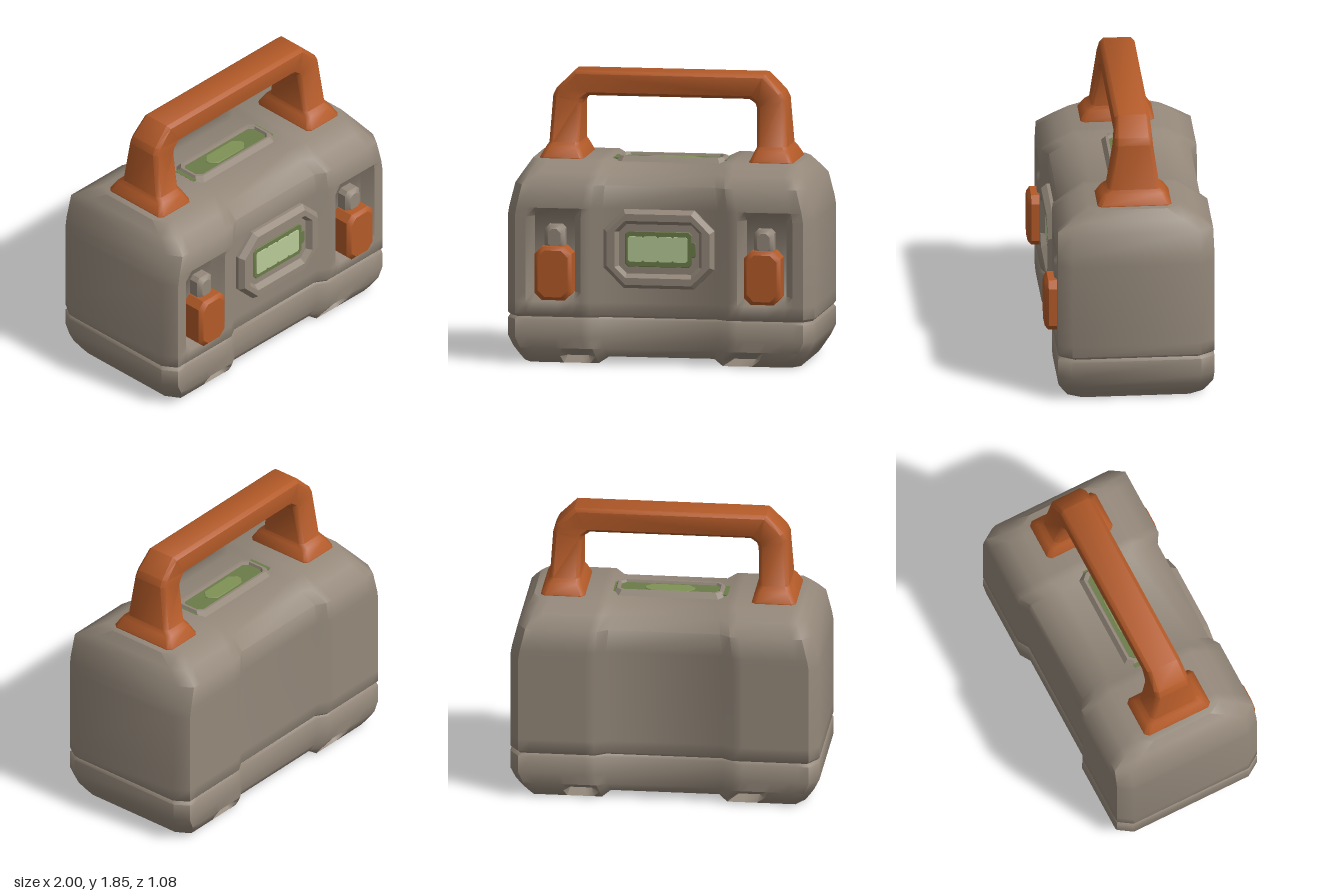
import * as THREE from 'three';
import { toCreasedNormals } from 'three/addons/utils/BufferGeometryUtils.js';

const CZ = -0.035; // depth centre of the case

function material(name, color) {
  const m = new THREE.MeshStandardMaterial({ color });
  m.name = name;
  return m;
}

// Skin a series of equal-length loops and close both ends with strips
function loft(loops, crease = 0.9) {
  const pos = [];
  const n = loops[0].length;
  const quad = (a, b, c, d) => {
    for (const p of [a, b, c, a, c, d]) pos.push(...p);
  };
  for (let j = 0; j < loops.length - 1; j++) {
    for (let i = 0; i < n; i++) {
      const k = (i + 1) % n;
      quad(loops[j][i], loops[j][k], loops[j + 1][k], loops[j + 1][i]);
    }
  }
  const first = loops[0], last = loops[loops.length - 1];
  for (let i = 0; i < n / 2 - 1; i++) {
    quad(last[i], last[i + 1], last[n - 2 - i], last[n - 1 - i]);
    quad(first[n - 1 - i], first[n - 2 - i], first[i + 1], first[i]);
  }
  const g = new THREE.BufferGeometry();
  g.setAttribute('position', new THREE.Float32BufferAttribute(pos, 3));
  return toCreasedNormals(g, crease);
}

// Rectangle with cut corners
const octagon = (w, h, c) => [
  [-w, -h + c], [-w + c, -h], [w - c, -h], [w, -h + c],
  [w, h - c], [w - c, h], [-w + c, h], [-w, h - c],
];

// Octagonal rings [halfWidth, halfHeight, cornerCut, z] stacked along z
const stack = (rings, crease) =>
  loft(rings.map(([w, h, c, z]) => octagon(w, h, c).map(([x, y]) => [x, y, z])), crease);

// Block with cut corners and a bevelled front
const block = (w, h, c, z0, z1, b) =>
  stack([[w, h, c, z0], [w, h, c, z1 - b], [w - b, h - b, c, z1]], 0.6);

function bodyGeometry() {
  // y, half width, half depth
  const rows = [
    [0, 0.9, 0.435], [0.045, 0.93, 0.468], [0.1, 0.965, 0.5], [0.17, 1, 0.505],
    [0.285, 1, 0.505], [0.302, 0.985, 0.488], [0.32, 1, 0.505], [0.4, 1, 0.505],
    [0.46, 1, 0.505], [0.95, 1, 0.505], [1.01, 0.99, 0.505], [1.16, 0.952, 0.5],
    [1.23, 0.91, 0.4], [1.295, 0.87, 0.295],
  ];
  const half = [0.38, 0.45, 0.51, 0.56, 0.66, 0.7, 0.82, 0.87, 0.94, 1];
  const cols = [...half.map(x => -x).reverse(), ...half];
  return loft(rows.map(([y, w, d]) => {
    const side = (x, s) => {
      const a = Math.abs(x);
      let z = d;
      if (a === 1) z -= 0.09;
      if (a === 0.38) z -= 0.042; // recessed waist
      // latch pockets
      if (s > 0 && a >= 0.56 && a <= 0.82 && y >= 0.46 && y <= 0.95) z -= 0.08;
      // finger notches in the bottom edge
      if (a >= 0.51 && a <= 0.66 && y === 0.045) z -= 0.07;
      let py = y;
      if (a === 0.38 && y === 0) py = 0.04;
      if (a === 0.38 && y > 1.25) py = 1.27;
      return [x * w, py, CZ + s * z];
    };
    return [...cols.map(x => side(x, 1)), ...cols.slice().reverse().map(x => side(x, -1))];
  }), 0.95);
}

function handleGeometry() {
  // outer x, outer y, inner x, inner y, half depth
  const leg = [
    [0.83, 1.25, 0.53, 1.25, 0.24], [0.825, 1.3, 0.54, 1.3, 0.238],
    [0.79, 1.365, 0.57, 1.365, 0.2], [0.775, 1.39, 0.58, 1.39, 0.167],
    [0.757, 1.69, 0.572, 1.635, 0.125], [0.735, 1.735, 0.56, 1.665, 0.122],
    [0.62, 1.85, 0.52, 1.69, 0.114],
  ];
  const path = [...leg, ...leg.slice().reverse().map(([a, b, c, d, h]) => [-a, b, -c, d, h])];
  return loft(path.map(([ox, oy, ix, iy, h]) => {
    const cx = (ox + ix) / 2, cy = (oy + iy) / 2;
    const ux = ox - ix, uy = oy - iy, len = Math.hypot(ux, uy);
    return octagon(len / 2, h, 0.025).map(([u, v]) =>
      [cx + u * ux / len, cy + u * uy / len, CZ - v]);
  }), 0.8);
}

export function createModel() {
  const shell = material('warm grey shell', 0x94887a);
  const orange = material('burnt orange', 0xb35a28);
  const olive = material('olive green', 0x6b7c48);
  const pale = material('pale green', 0xb9cb98);
  const moss = material('moss green', 0x7f9156);

  const model = new THREE.Group();
  model.name = 'portableCase';
  const add = (name, geometry, mat, x = 0, y = 0, z = 0, parent = model) => {
    const mesh = new THREE.Mesh(geometry, mat);
    mesh.name = name;
    mesh.position.set(x, y, z);
    parent.add(mesh);
    return mesh;
  };

  add('body', bodyGeometry(), shell);
  add('handle', handleGeometry(), orange);

  // Front display frame with a sunken floor
  add('displayFrame', stack([
    [0.36, 0.255, 0.13, 0.38], [0.36, 0.255, 0.13, 0.45], [0.335, 0.23, 0.12, 0.485],
    [0.285, 0.185, 0.07, 0.485], [0.26, 0.16, 0.05, 0.448],
  ], 0.6), shell, -0.003, 0.755);

  // Charge symbol
  const symbol = new THREE.Group();
  symbol.name = 'chargeSymbol';
  symbol.position.set(-0.005, 0.755, 0);
  model.add(symbol);
  add('cell', block(0.218, 0.115, 0.02, 0.446, 0.455, 0.003), olive, 0, 0, 0, symbol);
  add('cellTip', block(0.02, 0.05, 0.012, 0.446, 0.455, 0.003), olive, 0.225, 0, 0, symbol);
  for (let i = 0; i < 4; i++) {
    add('chargeBar', block(0.05, 0.083, 0.012, 0.453, 0.46, 0.001), pale,
      -0.15 + i * 0.0967, 0, 0, symbol);
  }

  // Latches in their pockets
  for (const s of [-1, 1]) {
    const latch = new THREE.Group();
    latch.name = s > 0 ? 'leftLatch' : 'rightLatch';
    latch.position.x = s * 0.682;
    model.add(latch);
    add('latchLever', block(0.12, 0.173, 0.045, 0.37, 0.54, 0.022), orange, 0, 0.592, 0, latch);
    add('latchHook', block(0.066, 0.085, 0.025, 0.37, 0.475, 0.025), shell, 0, 0.815, 0, latch);
  }

  // Top tray under the handle
  const tray = new THREE.Group();
  tray.name = 'topTray';
  tray.position.set(0.01, 0, CZ);
  model.add(tray);
  const rim = add('trayRim', stack([
    [0.36, 0.125, 0.04, 1.24], [0.36, 0.125, 0.04, 1.27], [0.34, 0.1, 0.035, 1.303],
    [0.325, 0.085, 0.03, 1.303], [0.315, 0.075, 0.03, 1.28],
  ], 0.5), shell, 0, 0, 0, tray);
  rim.rotation.x = -Math.PI / 2;
  add('trayBase', new THREE.BoxGeometry(0.76, 0.04, 0.16), olive, 0, 1.267, 0, tray);
  const window = add('trayWindow', block(0.16, 0.055, 0.04, 1.284, 1.292, 0.002), moss, 0, 0, 0, tray);
  window.rotation.x = -Math.PI / 2;

  return model;
}
